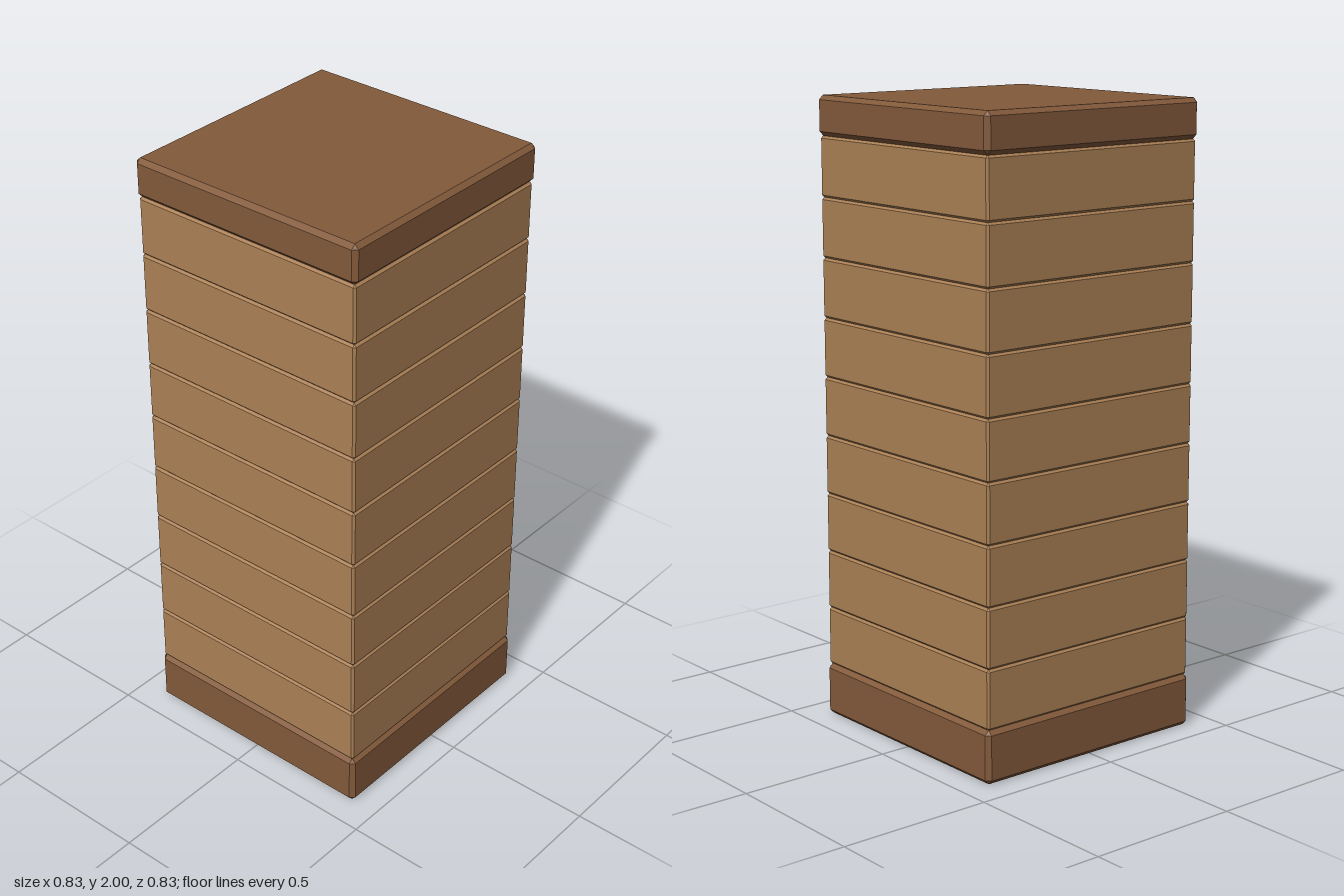
import * as THREE from 'three';
import { ConvexGeometry } from 'three/addons/geometries/ConvexGeometry.js';

const SIGNS = [-1, 1];

// Box with every edge cut at 45 degrees: three points at each corner
function chamferedBox(width, height, bevel) {
  const w = width / 2, h = height / 2, b = bevel;
  const points = [];
  for (const x of SIGNS) for (const y of SIGNS) for (const z of SIGNS) {
    points.push(
      new THREE.Vector3(x * w, y * (h - b), z * (w - b)),
      new THREE.Vector3(x * (w - b), y * h, z * (w - b)),
      new THREE.Vector3(x * (w - b), y * (h - b), z * w)
    );
  }
  return new ConvexGeometry(points);
}

export function createModel() {
  const model = new THREE.Group();
  model.name = 'woodenPillar';

  const lightWood = new THREE.MeshStandardMaterial({ color: 0xab8055 });
  lightWood.name = 'lightWood';
  const darkWood = new THREE.MeshStandardMaterial({ color: 0x835a3b });
  darkWood.name = 'darkWood';

  function addBlock(name, material, width, bottom, top, bevel) {
    const mesh = new THREE.Mesh(chamferedBox(width, top - bottom, bevel), material);
    mesh.name = name;
    mesh.position.y = (bottom + top) / 2;
    model.add(mesh);
  }

  // Base and cap, slightly wider than the shaft
  addBlock('base', darkWood, 0.83, 0, 0.17, 0.014);
  addBlock('cap', darkWood, 0.83, 1.875, 2, 0.014);

  // Stacked blocks of the shaft
  const count = 9, start = 0.17, pitch = (1.875 - start) / count;
  for (let i = 0; i < count; i++) {
    addBlock(`shaftBlock${i + 1}`, lightWood, 0.818, start + i * pitch, start + (i + 1) * pitch, 0.007);
  }

  return model;
}
